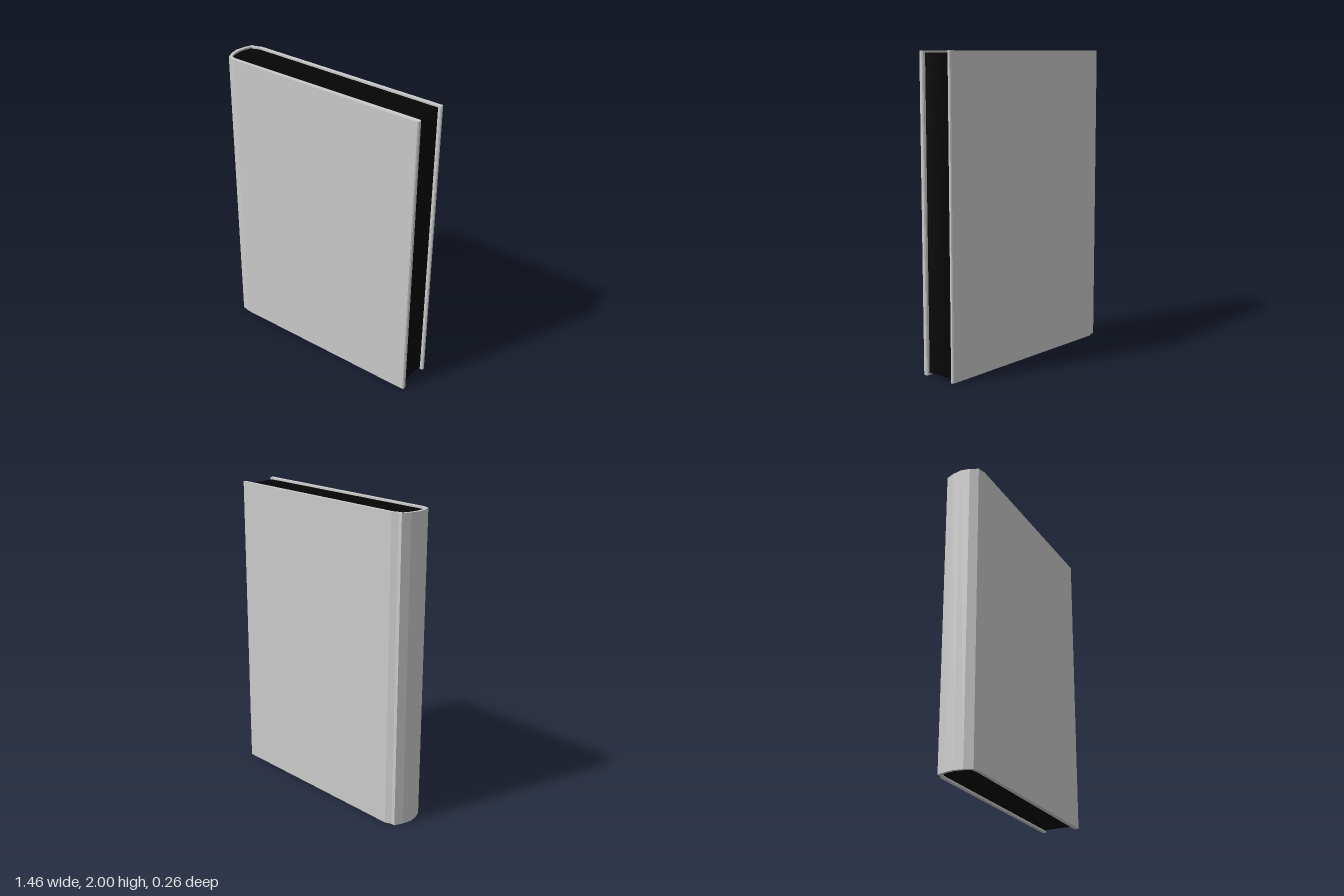
import * as THREE from 'three';

// Extrudes a plan outline of [x, z] points straight up from y0 to y1
function upright(name, points, y0, y1, color) {
  const shape = new THREE.Shape(points.map(([x, z]) => new THREE.Vector2(x, -z)));
  const geometry = new THREE.ExtrudeGeometry(shape, { depth: y1 - y0, bevelEnabled: false });
  geometry.rotateX(-Math.PI / 2).translate(0, y0, 0);
  const mesh = new THREE.Mesh(geometry, new THREE.MeshStandardMaterial({ color, flatShading: true }));
  mesh.name = name;
  return mesh;
}

export function createModel() {
  const book = new THREE.Group();
  book.name = 'book';

  // Inside of the case, from the front board round the spine to the back board
  const lining = [
    [-0.64, 0.103], [-0.685, 0.093], [-0.702, 0.05], [-0.709, 0],
    [-0.702, -0.05], [-0.685, -0.097], [-0.665, -0.098], [-0.633, -0.112],
  ];

  // Case: two boards with softened fore edges, hinge grooves and a rounded spine
  const cover = [
    [0.722, -0.132], [-0.632, -0.134], [-0.672, -0.116], [-0.697, -0.116],
    [-0.718, -0.06], [-0.73, 0], [-0.718, 0.06], [-0.693, 0.112], [-0.64, 0.126],
    [0.722, 0.13], [0.729, 0.124], [0.729, 0.104], [0.722, 0.098],
    ...lining,
    [0.722, -0.109], [0.729, -0.114], [0.729, -0.127],
  ];
  book.add(upright('cover', cover, 0, 2, 0xcccccc));

  // Page block: rounded back against the spine, hollow fore edge
  const foreEdge = [];
  for (let i = 0; i <= 8; i++) {
    const t = i / 4 - 1;
    foreEdge.push([0.697 + 0.01 * t * t, -0.005 + 0.104 * t]);
  }
  book.add(upright('pages', [...foreEdge, ...lining], 0.012, 1.988, 0x050505));

  return book;
}
